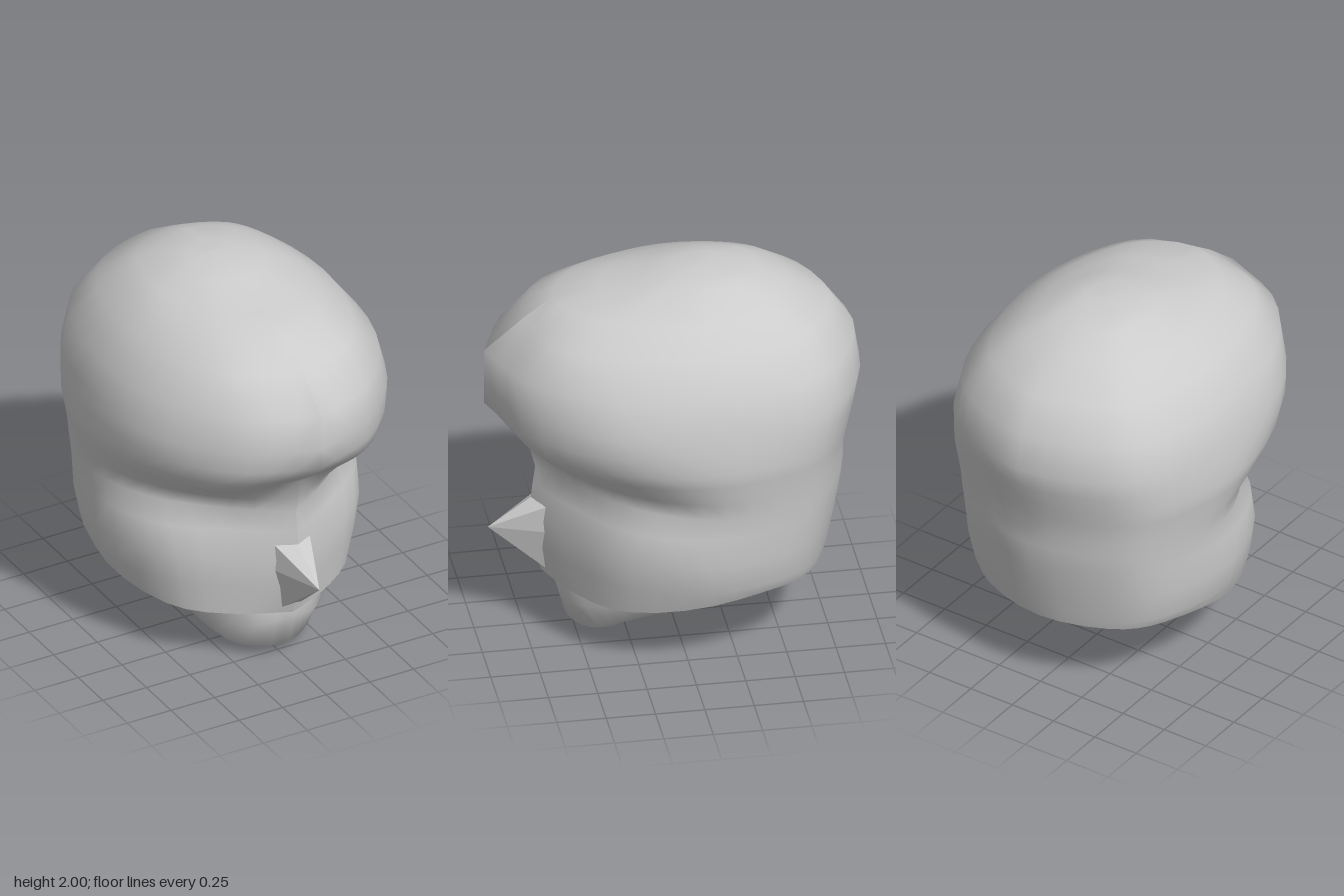
import * as THREE from 'three';
import { ConvexGeometry } from 'three/addons/geometries/ConvexGeometry.js';

const COLS = 20;
const material = new THREE.MeshStandardMaterial({ color: 0xcccccc, side: THREE.DoubleSide });

// Smooth half ring from front centre round the +x side to back centre.
function halfRing(points, roundFront) {
  const pts = points.map(p => new THREE.Vector3(...p));
  const n = pts.length;
  const mirrored = p => new THREE.Vector3(-p.x, p.y, p.z);
  const all = [...pts, mirrored(pts[n - 2])];
  if (roundFront) all.unshift(mirrored(pts[1]));
  const curve = new THREE.CatmullRomCurve3(all);
  const start = roundFront ? 1 : 0;
  const ring = [];
  for (let j = 0; j <= COLS; j++) {
    ring.push(curve.getPoint((start + (n - 1) * j / COLS) / (all.length - 1)));
  }
  ring[0].x = ring[COLS].x = 0;
  return ring;
}

// Skin between half rings, listed from top to bottom; side is +1 or -1.
function loftHalf(rings, side, isSmoothSeam) {
  const position = [], index = [], W = COLS + 1;
  for (const ring of rings) for (const p of ring) position.push(p.x * side, p.y, p.z);
  for (let i = 0; i < rings.length - 1; i++) {
    for (let j = 0; j < COLS; j++) {
      const a = i * W + j, b = a + W, c = b + 1, d = a + 1;
      if (side > 0) index.push(a, b, c, a, c, d);
      else index.push(a, c, b, a, d, c);
    }
  }
  const g = new THREE.BufferGeometry();
  g.setAttribute('position', new THREE.Float32BufferAttribute(position, 3));
  g.setIndex(index);
  g.computeVertexNormals();
  // Blend the shading across the centre line wherever there is no crease.
  const normal = g.attributes.normal, v = new THREE.Vector3();
  rings.forEach((ring, i) => [0, COLS].forEach(j => {
    if (j === 0 && !isSmoothSeam(ring[0])) return;
    v.fromBufferAttribute(normal, i * W + j).setX(0).normalize();
    normal.setXYZ(i * W + j, v.x, v.y, v.z);
  }));
  return g;
}

function addMirrored(group, name, rings, isSmoothSeam) {
  const part = new THREE.Group();
  part.name = name;
  for (const side of [1, -1]) {
    const mesh = new THREE.Mesh(loftHalf(rings, side, isSmoothSeam), material);
    mesh.name = name + (side > 0 ? 'Left' : 'Right');
    part.add(mesh);
  }
  group.add(part);
}

// y, front z, brow or cheek (x, z), temple (x, z), widest point (x, z), back z
const LEVELS = [
  [1.995, 0.00, 0.07, -0.02, 0.11, -0.08, 0.13, -0.15, -0.26],
  [1.975, 0.12, 0.13, 0.08, 0.20, 0.00, 0.24, -0.15, -0.43],
  [1.91, 0.37, 0.20, 0.30, 0.30, 0.12, 0.36, -0.12, -0.57],
  [1.88, 0.60, 0.26, 0.46, 0.39, 0.18, 0.43, -0.10, -0.62],
  [1.77, 0.75, 0.33, 0.64, 0.50, 0.36, 0.57, -0.04, -0.80],
  [1.60, 0.95, 0.37, 0.78, 0.62, 0.42, 0.695, -0.08, -0.92],
  [1.41, 0.95, 0.38, 0.79, 0.67, 0.42, 0.735, -0.10, -0.95],
  [1.30, 0.95, 0.38, 0.79, 0.67, 0.41, 0.745, -0.10, -0.93],
  [1.20, 0.84, 0.37, 0.75, 0.66, 0.38, 0.755, -0.10, -0.905],
  [1.12, 0.74, 0.36, 0.67, 0.63, 0.34, 0.74, -0.12, -0.885],
  [1.00, 0.715, 0.32, 0.52, 0.58, 0.22, 0.71, -0.17, -0.86],
  [0.91, 0.69, 0.28, 0.49, 0.56, 0.20, 0.70, -0.17, -0.86],
  [0.80, 0.705, 0.24, 0.55, 0.58, 0.27, 0.70, -0.12, -0.85],
  [0.64, 0.72, 0.24, 0.58, 0.56, 0.33, 0.71, -0.08, -0.82],
  [0.48, 0.71, 0.24, 0.57, 0.54, 0.33, 0.68, -0.08, -0.785],
];
const RIM = [0.66, 0.24, 0.55, 0.50, 0.33, 0.64, -0.1, -0.77];

// Level numbers to points, with a rounded back of two extra points
function levelPoints([y, zf, xb, zb, xt, zt, xw, zw, zBack]) {
  const rear = (fx, fz) => [xw * fx, y, THREE.MathUtils.lerp(zw, zBack, fz)];
  return [[0, y, zf], [xb, y, zb], [xt, y, zt], [xw, y, zw], rear(0.85, 0.58), rear(0.61, 0.83), [0, y, zBack]];
}

export function createModel() {
  const head = new THREE.Group();
  head.name = 'head';

  // Skull, with a sharp ridge down the middle of the face
  const rings = LEVELS.map(l => halfRing(levelPoints(l), l[0] > 1.85));
  rings.unshift(rings[0].map(() => new THREE.Vector3(0, 2, -0.14)));
  const rim = halfRing(levelPoints([0, ...RIM]), false);
  rim.forEach(p => { p.y = 0.42 - 0.11 * THREE.MathUtils.smoothstep(p.z, -0.45, 0.5); });
  rings.push(rim);
  addMirrored(head, 'skull', rings, p => p.y > 1.85);

  // Underside of the skull, rising from the rim in to the jaw
  const innerRim = rim.map(p => new THREE.Vector3(p.x * 0.8, p.y + 0.05, p.z * 0.8));
  addMirrored(head, 'skullBase', [rim, innerRim], () => true);

  // Jaw: outer lip, side, lower edge, then the edge of the opening underneath
  const jaw = [
    [[0, 0.35, 0.57], [0.20, 0.35, 0.53], [0.45, 0.40, 0.2], [0.54, 0.45, -0.2], [0.41, 0.46, -0.5], [0, 0.46, -0.64]],
    [[0, 0.24, 0.59], [0.20, 0.22, 0.54], [0.40, 0.27, 0.2], [0.48, 0.34, -0.2], [0.37, 0.36, -0.46], [0, 0.36, -0.58]],
    [[0, 0.06, 0.54], [0.20, 0.07, 0.45], [0.33, 0.17, 0.23], [0.41, 0.29, -0.15], [0.33, 0.30, -0.42], [0, 0.30, -0.50]],
    [[0, 0.005, 0.41], [0.15, 0.03, 0.34], [0.25, 0.16, 0.20], [0.33, 0.27, -0.1], [0.27, 0.29, -0.36], [0, 0.30, -0.43]],
    [[0, 0.12, 0.36], [0.10, 0.12, 0.32], [0.19, 0.21, 0.18], [0.26, 0.29, -0.05], [0.22, 0.33, -0.31], [0, 0.33, -0.38]],
  ].map(points => halfRing(points, true));
  addMirrored(head, 'jaw', jaw, () => true);

  // Pointed nose
  const nosePoints = [[0, 0.74, 0.70], [0, 0.58, 0.93], [0, 0.44, 0.72], [0, 0.6, 0.6]];
  for (const s of [1, -1]) {
    nosePoints.push([s * 0.12, 0.75, 0.60], [s * 0.12, 0.58, 0.61], [s * 0.055, 0.43, 0.68], [s * 0.055, 0.35, 0.65]);
  }
  const nose = new THREE.Mesh(new ConvexGeometry(nosePoints.map(p => new THREE.Vector3(...p))), material);
  nose.name = 'nose';
  head.add(nose);

  return head;
}
